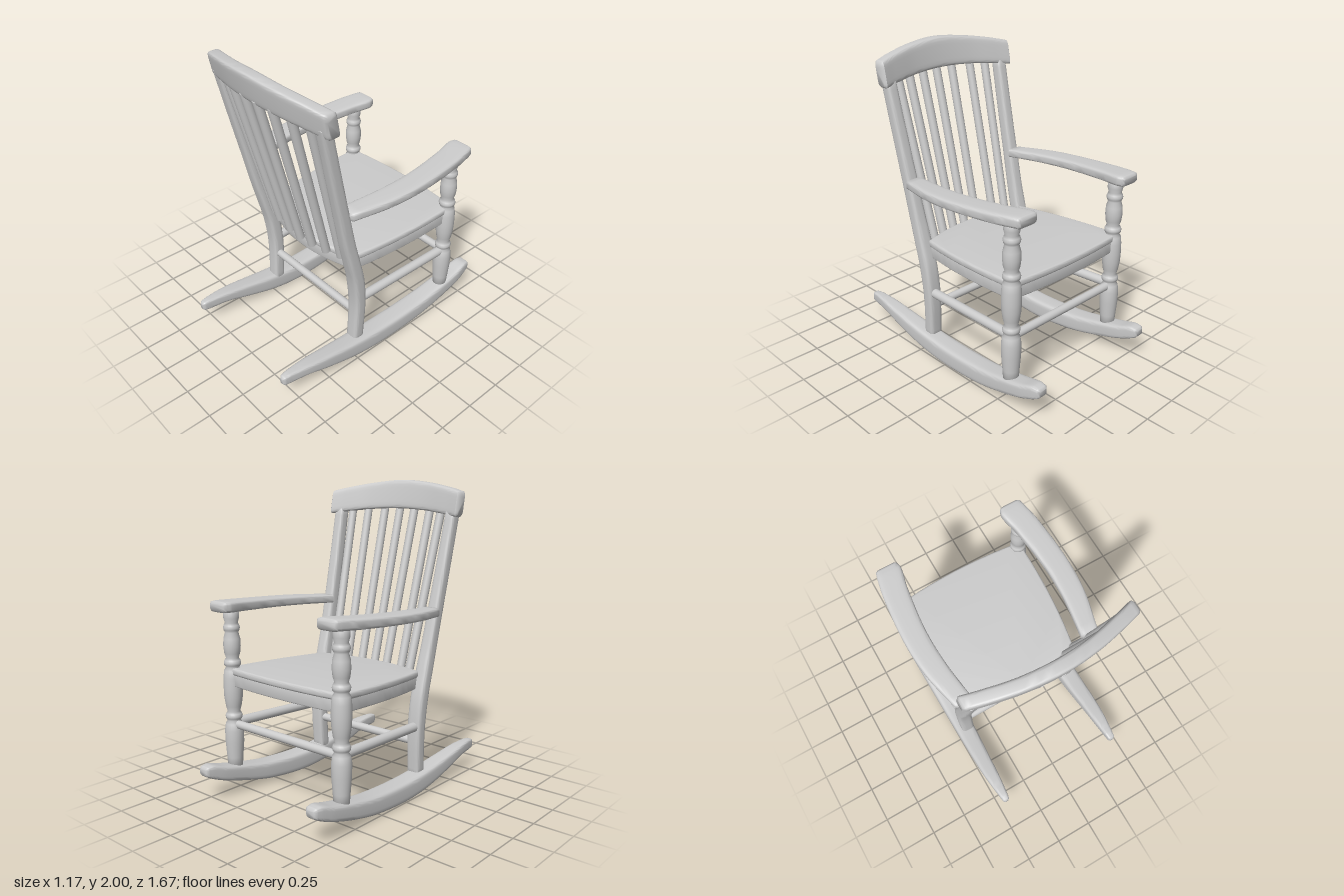
import * as THREE from 'three';
import { toCreasedNormals, mergeVertices } from 'three/addons/utils/BufferGeometryUtils.js';

const material = new THREE.MeshStandardMaterial({ color: 0xcccccc });
const RING = 28;

function addMesh(parent, name, geometry) {
  const mesh = new THREE.Mesh(geometry, material);
  mesh.name = name;
  parent.add(mesh);
  return mesh;
}

// Smoothly resample rows of numbers (first column is the position along the part)
function resample(rows, steps) {
  const out = [];
  for (let i = 0; i < rows.length - 1; i++) {
    const p0 = rows[Math.max(i - 1, 0)], p1 = rows[i], p2 = rows[i + 1], p3 = rows[Math.min(i + 2, rows.length - 1)];
    for (let s = 0; s < steps; s++) {
      const t = s / steps, d = p2[0] - p1[0];
      out.push(p1.map((v, k) => {
        if (k === 0) return v + d * t;
        const m1 = (p2[k] - p0[k]) / (p2[0] - p0[0]) * d;
        const m2 = (p3[k] - p1[k]) / (p3[0] - p1[0]) * d;
        return (2 * t ** 3 - 3 * t * t + 1) * v + (t ** 3 - 2 * t * t + t) * m1
          + (3 * t * t - 2 * t ** 3) * p2[k] + (t ** 3 - t * t) * m2;
      }));
    }
  }
  out.push(rows[rows.length - 1]);
  return out;
}

// Rounded-rectangle loft; each row is [t, centreA, centreB, halfA, halfB]
// axis y: a = x, b = z;  axis z: a = x, b = y;  axis x: a = z, b = y
function loft(axis, rows, { lean = 0, round = 0.012, power = 0.4 } = {}) {
  const sections = resample(rows, 5);
  const n = sections.length - 1;
  // softened ends
  const soften = (r, dir) => [r[0] + dir * round, r[1], r[2], Math.max(r[3] - round, 0.004), Math.max(r[4] - round, 0.004)];
  const all = [soften(sections[0], -1), ...sections, soften(sections[n], 1)];
  const place = (t, a, b) => axis === 'y' ? [a, t, b] : axis === 'z' ? [a, b, t] : [t, b, a];
  const se = v => Math.sign(v) * Math.abs(v) ** power;
  const pos = [], idx = [];
  for (const [t, a, b, ha, hb] of all) {
    for (let j = 0; j < RING; j++) {
      const ang = (j + 0.5) / RING * Math.PI * 2;
      const db = hb * se(Math.sin(ang));
      pos.push(...place(t, a + ha * se(Math.cos(ang)) + lean * db, b + db));
    }
  }
  const tri = (a, b, c) => axis === 'z' ? idx.push(a, b, c) : idx.push(a, c, b);
  for (let i = 0; i < all.length - 1; i++) {
    for (let j = 0; j < RING; j++) {
      const k = (j + 1) % RING, a = i * RING, b = a + RING;
      tri(a + j, a + k, b + k);
      tri(a + j, b + k, b + j);
    }
  }
  const last = (all.length - 1) * RING;
  for (let j = 1; j < RING - 1; j++) {
    tri(0, j + 1, j);
    tri(last, last + j, last + j + 1);
  }
  const g = new THREE.BufferGeometry();
  g.setAttribute('position', new THREE.Float32BufferAttribute(pos, 3));
  g.setIndex(idx);
  return toCreasedNormals(g, 0.8);
}

// Round bar between two points
function rod(parent, name, from, to, radius) {
  const a = new THREE.Vector3(...from), b = new THREE.Vector3(...to);
  const mesh = addMesh(parent, name, new THREE.CylinderGeometry(radius, radius, a.distanceTo(b), 18));
  mesh.position.copy(a).add(b).multiplyScalar(0.5);
  mesh.quaternion.setFromUnitVectors(new THREE.Vector3(0, 1, 0), b.sub(a).normalize());
}

// Seat outline, inset by d; bowed front and back, tapering to the back
function seatOutline(Kind, d) {
  const s = new Kind();
  s.moveTo(-0.485 + d, 0.6 - d);
  s.quadraticCurveTo(0, 0.665 - d, 0.485 - d, 0.6 - d);
  s.quadraticCurveTo(0.495 - d, 0.15, 0.42 - d, -0.22 + d);
  s.quadraticCurveTo(0, -0.385 + d, -0.42 + d, -0.22 + d);
  s.quadraticCurveTo(-0.495 + d, 0.15, -0.485 + d, 0.6 - d);
  return s;
}

function seatLayer(shape, bottom, height, bevel) {
  let g = new THREE.ExtrudeGeometry(shape, {
    depth: height - 2 * bevel, curveSegments: 20, bevelThickness: bevel, bevelSize: bevel, bevelOffset: -bevel, bevelSegments: 3,
  });
  g.rotateX(-Math.PI / 2).translate(0, bottom + bevel, 0);
  // slight rise towards the sitter's knees
  const p = g.attributes.position;
  for (let i = 0; i < p.count; i++) p.setY(i, p.getY(i) - 0.04 * p.getZ(i));
  g.deleteAttribute('normal');
  g.deleteAttribute('uv');
  return toCreasedNormals(mergeVertices(g), 0.7);
}

export function createModel() {
  const chair = new THREE.Group();
  chair.name = 'rockingChair';

  // Seat: hollow apron frame with a solid top
  const apron = seatOutline(THREE.Shape, 0.006);
  apron.holes.push(seatOutline(THREE.Path, 0.07));
  addMesh(chair, 'seatApron', seatLayer(apron, 0.692, 0.085, 0.008));
  addMesh(chair, 'seatTop', seatLayer(seatOutline(THREE.Shape, 0), 0.765, 0.045, 0.014));

  // Turned front leg profile: radius, height
  const legProfile = [
    [0.001, 0.15], [0.046, 0.15], [0.052, 0.24], [0.06, 0.34], [0.061, 0.42], [0.054, 0.465], [0.042, 0.485],
    [0.052, 0.5], [0.055, 0.515], [0.05, 0.53], [0.04, 0.545], [0.05, 0.58], [0.059, 0.64], [0.061, 0.7],
    [0.06, 0.77], [0.054, 0.815], [0.042, 0.835], [0.053, 0.85], [0.055, 0.865], [0.05, 0.88], [0.04, 0.895],
    [0.05, 0.925], [0.055, 0.97], [0.053, 1.02], [0.042, 1.06], [0.05, 1.075], [0.053, 1.09], [0.048, 1.105],
    [0.041, 1.12], [0.049, 1.15], [0.05, 1.22], [0.001, 1.22],
  ].map(([r, y]) => new THREE.Vector2(r, y));

  // Paired side parts
  for (const [side, label] of [[1, 'left'], [-1, 'right']]) {
    const mx = rows => rows.map(r => r.map((v, k) => k === 1 ? v * side : v));

    addMesh(chair, label + 'Rocker', loft('z', mx([
      [-0.825, 0.462, 0.203, 0.042, 0.033], [-0.78, 0.462, 0.193, 0.05, 0.046], [-0.69, 0.46, 0.163, 0.06, 0.05],
      [-0.5, 0.455, 0.116, 0.065, 0.056], [-0.3, 0.447, 0.081, 0.069, 0.061], [0, 0.44, 0.065, 0.07, 0.065],
      [0.25, 0.44, 0.083, 0.066, 0.062], [0.5, 0.445, 0.128, 0.055, 0.049], [0.65, 0.445, 0.157, 0.045, 0.038],
      [0.78, 0.443, 0.164, 0.03, 0.037], [0.825, 0.443, 0.164, 0.024, 0.032],
    ])));

    addMesh(chair, label + 'BackPost', loft('y', mx([
      [0.1, 0.42, 0.207, 0.045, 0.042], [0.4, 0.425, 0.197, 0.05, 0.042], [0.62, 0.43, 0.218, 0.05, 0.045],
      [0.8, 0.434, 0.262, 0.047, 0.045], [0.95, 0.438, 0.301, 0.043, 0.044], [1.2, 0.446, 0.358, 0.041, 0.042],
      [1.5, 0.456, 0.427, 0.039, 0.041], [1.82, 0.467, 0.498, 0.037, 0.04],
    ]), { power: 0.5 }));

    addMesh(chair, label + 'Armrest', loft('z', mx([
      [-0.68, 0.452, 1.232, 0.075, 0.034], [-0.64, 0.453, 1.231, 0.085, 0.035], [-0.5, 0.48, 1.222, 0.083, 0.034],
      [-0.2, 0.507, 1.205, 0.077, 0.032], [0.05, 0.496, 1.192, 0.073, 0.031], [0.31, 0.448, 1.176, 0.06, 0.029],
    ])));

    const leg = addMesh(chair, label + 'FrontLeg', new THREE.LatheGeometry(legProfile, 24));
    leg.position.set(0.46 * side, 0, -0.573);

    rod(chair, label + 'SideStretcher', [0.43 * side, 0.442, 0.19], [0.46 * side, 0.467, -0.56], 0.031);
  }

  // Cross stretchers
  rod(chair, 'frontStretcher', [-0.45, 0.46, -0.573], [0.45, 0.46, -0.573], 0.027);
  rod(chair, 'rearStretcher', [-0.42, 0.335, 0.2], [0.42, 0.335, 0.2], 0.027);

  // Back spindles fanning out along the curve of the crest rail
  const spindles = [[-0.31, -0.36], [-0.22, -0.25], [-0.082, -0.108], [0.025, 0.017], [0.13, 0.14], [0.237, 0.268], [0.338, 0.382]];
  for (const [low, high] of spindles) {
    const bow = 0.45 * high * high;
    rod(chair, 'backSpindle', [low, 0.775, 0.325 - bow], [high, 1.84, 0.59 - bow], 0.028);
  }

  // Curved crest rail
  addMesh(chair, 'crestRail', loft('x', [
    [-0.52, 0.487, 1.848, 0.044, 0.08], [-0.42, 0.517, 1.866, 0.044, 0.084], [-0.22, 0.564, 1.892, 0.044, 0.09],
    [0, 0.583, 1.905, 0.045, 0.095], [0.22, 0.564, 1.892, 0.044, 0.09], [0.42, 0.517, 1.866, 0.044, 0.084],
    [0.52, 0.487, 1.848, 0.044, 0.08],
  ], { lean: 0.2, power: 0.33 }));

  return chair;
}
